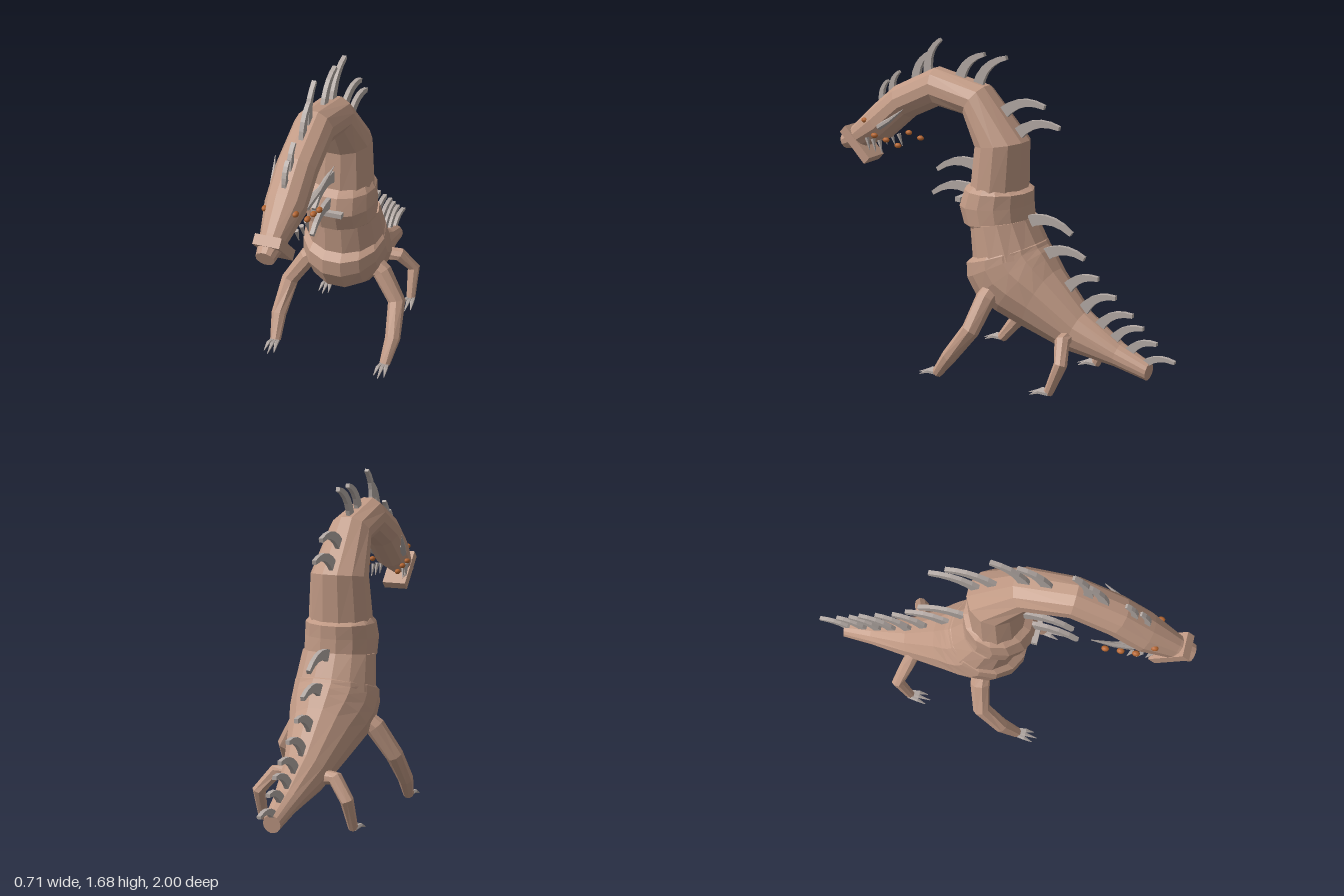
import * as THREE from 'three';

const V = (x, y, z) => new THREE.Vector3(x, y, z);

// Skins a list of closed point rings with flat facets and caps both ends
function loft(rings) {
  const pos = [];
  const tri = (a, b, c) => { for (const p of [a, b, c]) pos.push(p.x, p.y, p.z); };
  const n = rings[0].length;
  const middle = (r) => r.reduce((s, p) => s.add(p), V(0, 0, 0)).divideScalar(n);
  const first = rings[0], last = rings[rings.length - 1];
  const c0 = middle(first), c1 = middle(last);
  for (let j = 0; j < n; j++) {
    const k = (j + 1) % n;
    for (let i = 0; i < rings.length - 1; i++) {
      const a = rings[i], b = rings[i + 1];
      tri(a[j], b[j], a[k]);
      tri(a[k], b[j], b[k]);
    }
    tri(c0, first[j], first[k]);
    tri(c1, last[k], last[j]);
  }
  const g = new THREE.BufferGeometry();
  g.setAttribute('position', new THREE.Float32BufferAttribute(pos, 3));
  g.computeVertexNormals();
  return g;
}

// Body section: each row is [back z, back y, belly z, belly y, half width]
function trunk(rows, sides = 14) {
  return loft(rows.map(([tz, ty, bz, by, w]) => {
    const ring = [];
    for (let j = 0; j < sides; j++) {
      const a = ((j + 0.5) / sides) * Math.PI * 2, c = Math.cos(a);
      ring.push(V(w * Math.sin(a), (ty + by) / 2 + c * (ty - by) / 2, (tz + bz) / 2 + c * (tz - bz) / 2));
    }
    return ring;
  }));
}

// Tapered limb along points; a fixed sideways radius makes it a flat blade
function limb(points, radii, sides, ref = V(0, 0, 1), sideRadius = null) {
  return loft(points.map((p, i) => {
    const t = points[Math.min(i + 1, points.length - 1)].clone().sub(points[Math.max(i - 1, 0)]).normalize();
    const u = ref.clone().cross(t).normalize();
    const v = u.clone().cross(t);
    const ring = [];
    for (let j = 0; j < sides; j++) {
      const a = ((j + 0.5) / sides) * Math.PI * 2;
      ring.push(p.clone().addScaledVector(u, Math.cos(a) * radii[i]).addScaledVector(v, Math.sin(a) * (sideRadius ?? radii[i])));
    }
    return ring;
  }));
}

export function createModel() {
  const model = new THREE.Group();
  const mat = (name, color) => {
    const m = new THREE.MeshStandardMaterial({ color });
    m.name = name;
    return m;
  };
  const skin = mat('tan skin', 0xc19a85);
  const bone = mat('grey bone', 0xb4aaa5);
  const amber = mat('amber eye', 0xb5652f);
  const add = (name, geo, m) => {
    const mesh = new THREE.Mesh(geo, m);
    mesh.name = name;
    model.add(mesh);
    return mesh;
  };

  // Trunk sections, from tail tip to snout
  add('tailAndBelly', trunk([
    [-0.86, 0.19, -0.85, 0.1, 0.045],
    [-0.7, 0.26, -0.68, 0.14, 0.068],
    [-0.5, 0.39, -0.42, 0.17, 0.115],
    [-0.33, 0.58, -0.18, 0.25, 0.175],
    [-0.29, 0.64, -0.02, 0.31, 0.205],
    [-0.27, 0.67, 0.1, 0.37, 0.217],
    [-0.25, 0.69, 0.165, 0.475, 0.22],
    [-0.24, 0.705, 0.17, 0.56, 0.215],
    [-0.22, 0.715, 0.12, 0.61, 0.195],
  ]), skin);
  add('torso', trunk([
    [-0.26, 0.66, 0.13, 0.57, 0.21],
    [-0.17, 0.82, 0.148, 0.78, 0.19],
  ]), skin);
  add('chest', trunk([
    [-0.18, 0.78, 0.145, 0.75, 0.178],
    [-0.17, 0.81, 0.19, 0.77, 0.186],
    [-0.165, 0.89, 0.22, 0.86, 0.187],
    [-0.165, 0.955, 0.19, 0.95, 0.18],
    [-0.13, 0.97, 0.15, 0.98, 0.162],
  ]), skin);
  add('neckAndHead', trunk([
    [-0.135, 0.94, 0.155, 0.95, 0.167],
    [-0.145, 1.21, 0.135, 1.17, 0.148],
    [0.085, 1.47, 0.2, 1.31, 0.11],
    [0.39, 1.535, 0.37, 1.335, 0.1],
    [0.64, 1.415, 0.54, 1.255, 0.1],
    [0.78, 1.3, 0.7, 1.12, 0.1],
    [0.92, 1.175, 0.85, 1.06, 0.065],
    [1.0, 1.115, 0.97, 1.035, 0.046],
  ], 12), skin);

  // Square collar across the snout
  const collar = add('snoutCollar', new THREE.BoxGeometry(0.13, 0.05, 0.22), skin);
  collar.position.set(0, 1.077, 0.88);
  collar.rotation.x = -Math.PI / 4;

  // Curved blades: [base z, base y, tip z, tip y, base radius]
  const blade = (name, [bz, by, tz, ty, r], side) => {
    const dz = tz - bz, dy = ty - by;
    const curve = new THREE.QuadraticBezierCurve3(
      V(0, by, bz),
      V(0, (by + ty) / 2 - dz * 0.3 * side, (bz + tz) / 2 + dy * 0.3 * side),
      V(0, ty, tz));
    const steps = 5;
    const radii = Array.from({ length: steps + 1 }, (_, i) => r * (1 - 0.65 * i / steps));
    add(name, limb(curve.getPoints(steps), radii, 4, V(1, 0, 0), 0.015), bone);
  };
  [
    [-0.82, 0.17, -0.995, 0.22, 0.03],
    [-0.74, 0.22, -0.895, 0.295, 0.036],
    [-0.65, 0.26, -0.82, 0.36, 0.038],
    [-0.57, 0.32, -0.76, 0.415, 0.04],
    [-0.48, 0.39, -0.665, 0.49, 0.042],
    [-0.38, 0.48, -0.565, 0.57, 0.044],
    [-0.25, 0.64, -0.485, 0.66, 0.046],
    [-0.15, 0.8, -0.41, 0.775, 0.046],
    [-0.09, 1.24, -0.335, 1.3, 0.044],
    [-0.01, 1.34, -0.25, 1.395, 0.044],
    [0.14, 1.46, -0.03, 1.62, 0.042],
    [0.25, 1.48, 0.1, 1.625, 0.042],
    [0.44, 1.49, 0.365, 1.675, 0.036],
    [0.52, 1.45, 0.415, 1.61, 0.036],
    [0.67, 1.37, 0.625, 1.485, 0.028],
    [0.735, 1.31, 0.7, 1.43, 0.026],
  ].forEach((b) => blade('backSpike', b, 1));
  [[0.12, 1.04, 0.39, 1.0, 0.044], [0.15, 0.91, 0.42, 0.87, 0.044]].forEach((b) => blade('chestSpike', b, -1));

  // Short crossbar on the chest
  add('chestBar', new THREE.BoxGeometry(0.16, 0.025, 0.03), bone).position.set(0, 0.88, 0.215);

  for (const s of [1, -1]) {
    // Legs with three claws each
    const leg = (name, pts, radii) => {
      const path = pts.map(([x, y, z]) => V(s * x, y, z));
      add(name, limb(path, radii, 8), skin);
      const foot = path[path.length - 1];
      for (const k of [-1, 0, 1]) {
        const tip = V(foot.x + k * 0.028, 0.004, foot.z + (k ? 0.09 : 0.11));
        const knuckle = V(foot.x + k * 0.022, 0.026, foot.z + 0.045);
        add(name + 'Claw', limb([V(foot.x + k * 0.012, 0.022, foot.z - 0.01), knuckle, tip], [0.012, 0.011, 0.002], 5, V(0, 1, 0)), bone);
      }
    };
    leg('frontLeg', [[0.16, 0.46, -0.04], [0.205, 0.43, -0.035], [0.298, 0.285, -0.005], [0.318, 0.13, 0.11], [0.305, 0.02, 0.195]],
      [0.052, 0.052, 0.046, 0.04, 0.028]);
    leg('hindLeg', [[0.09, 0.27, -0.44], [0.16, 0.27, -0.455], [0.232, 0.18, -0.49], [0.24, 0.02, -0.425]],
      [0.038, 0.038, 0.034, 0.024]);

    // Eyes and the row of beads behind them
    [[0.075, 1.222, 0.8], [0.1, 1.155, 0.72], [0.1, 1.14, 0.645], [0.1, 1.12, 0.57]].forEach(([x, y, z], i) => {
      const eye = add(i ? 'cheekBead' : 'eye', new THREE.SphereGeometry(0.018, 10, 7), amber);
      eye.position.set(s * x, y, z);
      eye.scale.set(0.85, 0.75, 1.1);
    });

    // Swept-back horns
    add('horn', limb([V(s * 0.085, 1.2, 0.7), V(s * 0.115, 1.25, 0.61), V(s * 0.147, 1.325, 0.5)], [0.018, 0.014, 0.002], 6, V(0, 1, 0)), bone);
    add('smallHorn', limb([V(s * 0.08, 1.22, 0.68), V(s * 0.13, 1.28, 0.56)], [0.014, 0.002], 6, V(0, 1, 0)), bone);

    // Jaw teeth
    [[0.085, 0.69], [0.08, 0.735], [0.072, 0.78]].forEach(([x, z]) => {
      add('tooth', limb([V(s * x, 1.13, z + 0.01), V(s * (x + 0.005), 1.065, z - 0.01)], [0.013, 0.002], 5), bone);
    });
  }
  return model;
}
